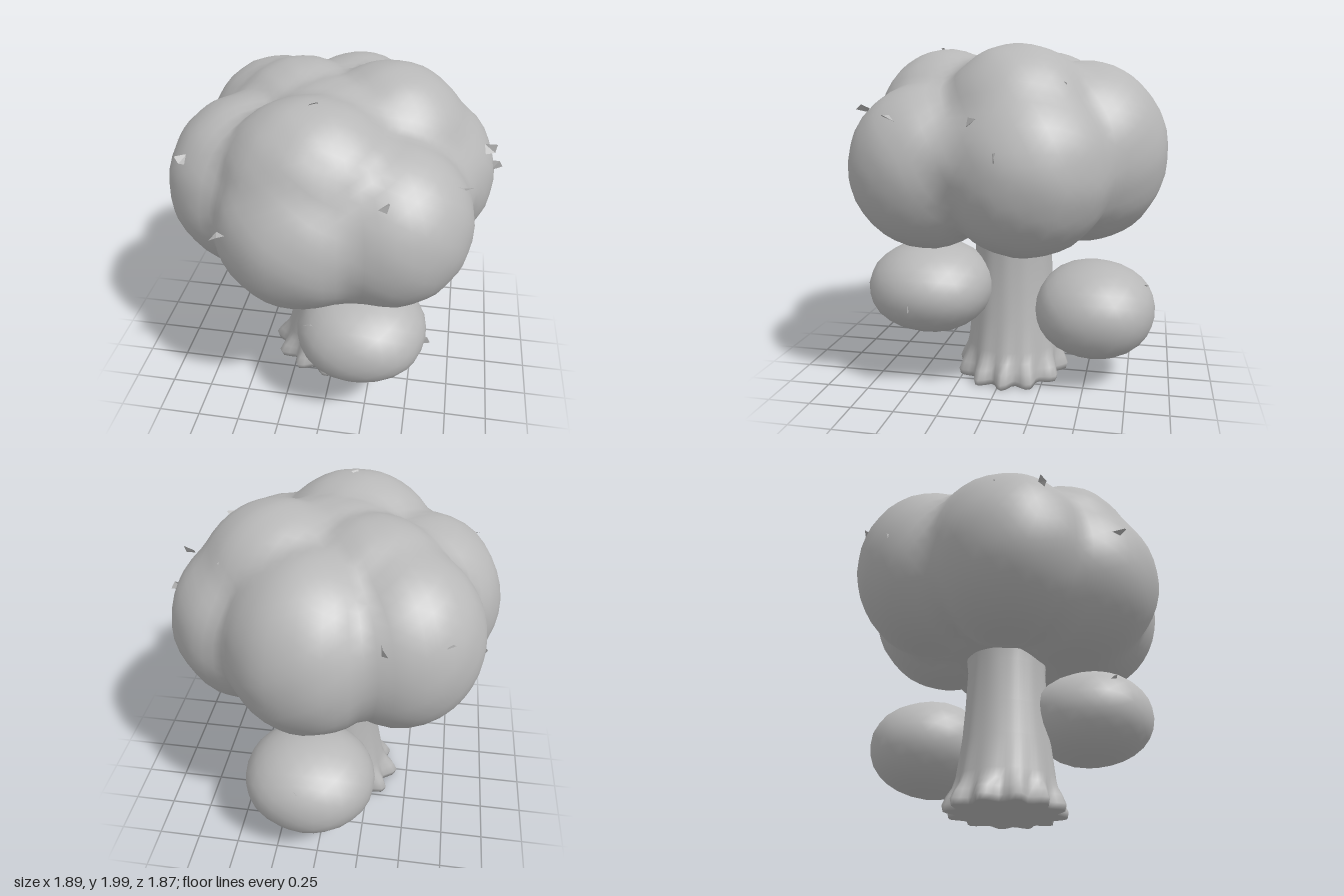
import * as THREE from 'three';
import { mergeVertices } from 'three/addons/utils/BufferGeometryUtils.js';

// Welded unit sphere whose vertices are moved by a rule, with smooth normals
function shapedSphere(detail, rule) {
  let geo = new THREE.IcosahedronGeometry(1, detail);
  geo.deleteAttribute('uv');
  geo.deleteAttribute('normal');
  geo = mergeVertices(geo, 1e-4);
  const pos = geo.attributes.position;
  const v = new THREE.Vector3();
  for (let i = 0; i < pos.count; i++) {
    v.fromBufferAttribute(pos, i).normalize();
    rule(v);
    pos.setXYZ(i, v.x, v.y, v.z);
  }
  geo.computeVertexNormals();
  return geo;
}

// Distance from the crown centre to the far side of an ellipsoid lobe along d
function lobeDistance(d, c, [x, y, z, rx, ry, rz]) {
  const ox = (c.x - x) / rx, oy = (c.y - y) / ry, oz = (c.z - z) / rz;
  const dx = d.x / rx, dy = d.y / ry, dz = d.z / rz;
  const a = dx * dx + dy * dy + dz * dz;
  const b = ox * dx + oy * dy + oz * dz;
  const disc = b * b - a * (ox * ox + oy * oy + oz * oz - 1);
  return disc < 0 ? 0 : Math.max(0, (-b + Math.sqrt(disc)) / a);
}

export function createModel() {
  const group = new THREE.Group();
  const grey = new THREE.MeshStandardMaterial({ color: 0xb8b8b8 });
  grey.name = 'plain grey';
  grey.side = THREE.DoubleSide;
  const add = (name, geo) => {
    const mesh = new THREE.Mesh(geo, grey);
    mesh.name = name;
    group.add(mesh);
    return mesh;
  };

  // Crown: lobes (centre, radii) blended into one billowing surface
  const lobes = [
    [-0.12, 1.31, 0.42, 0.49, 0.48, 0.51],
    [0.34, 1.32, 0.39, 0.45, 0.47, 0.45],
    [0.44, 1.33, -0.18, 0.46, 0.48, 0.48],
    [0.06, 1.39, -0.46, 0.47, 0.52, 0.48],
    [-0.41, 1.39, -0.36, 0.45, 0.51, 0.45],
    [-0.49, 1.35, 0.13, 0.46, 0.50, 0.48],
    [-0.08, 1.50, 0.38, 0.50, 0.48, 0.43],
    [0.28, 1.52, -0.12, 0.47, 0.48, 0.46],
    [-0.23, 1.50, -0.18, 0.47, 0.47, 0.46],
    // Fillers that keep the seams shallow
    [0.1, 1.3, 0.38, 0.44, 0.46, 0.44],
    [0, 1.37, 0, 0.81, 0.47, 0.81],
    [0, 1.50, 0.05, 0.55, 0.45, 0.55],
  ];
  const centre = new THREE.Vector3(0, 1.4, 0);
  add('crown', shapedSphere(13, (v) => {
    let sum = 0;
    for (const lobe of lobes) sum += Math.pow(lobeDistance(v, centre, lobe), 55);
    const bump = 1 + 0.005 * Math.sin(17 * v.x + 9 * v.y) * Math.sin(15 * v.z - 11 * v.y);
    v.multiplyScalar(Math.pow(sum, 1 / 55) * bump).add(centre);
  }));

  // Side bushes: slightly boxy, uneven ellipsoids
  const bush = (name, x, y, z, rx, ry, rz) => {
    const mesh = add(name, shapedSphere(4, (v) => {
      const p = 2.1;
      const box = Math.abs(v.x) ** p + Math.abs(v.y) ** p + Math.abs(v.z) ** p;
      const k = box ** (-1 / p) * (1 + 0.012 * Math.sin(5 * v.x + 3 * v.y + x * 9) * Math.cos(4 * v.z - 2 * v.y));
      v.set(v.x * rx * k, v.y * ry * k, v.z * rz * k);
    }));
    mesh.position.set(x, y, z);
  };
  bush('frontBush', 0.21, 0.585, 0.425, 0.38, 0.27, 0.37);
  bush('backBush', 0.07, 0.45, -0.545, 0.385, 0.285, 0.36);

  // Trunk: stacked rings, the lowest spreading into knobbly roots
  // Each ring: y, radius x, radius z, root depth
  const rings = [
    [0.005, 0.365, 0.31, 0.10], [0.04, 0.375, 0.318, 0.10], [0.09, 0.355, 0.305, 0.08],
    [0.14, 0.325, 0.29, 0.04], [0.2, 0.305, 0.282, 0.012], [0.4, 0.27, 0.258, 0.005],
    [0.6, 0.25, 0.243, 0.005], [0.85, 0.235, 0.232, 0.008], [1.0, 0.25, 0.25, 0],
  ];
  const sides = 72, points = [], faces = [];
  for (const [y, rx, rz, depth] of rings) {
    for (let i = 0; i < sides; i++) {
      const a = (i / sides) * Math.PI * 2;
      const k = 1 + depth * Math.cos(12 * a + 0.5 * Math.sin(3 * a));
      points.push(-0.02 + rx * k * Math.cos(a), y, -0.03 + rz * k * Math.sin(a));
    }
  }
  for (let r = 0; r < rings.length - 1; r++) {
    for (let i = 0; i < sides; i++) {
      const a = r * sides + i, b = r * sides + ((i + 1) % sides);
      faces.push(a, a + sides, b, b, a + sides, b + sides);
    }
  }
  // Flat underside, fanned from a middle point and sharing the lowest ring
  const middle = points.length / 3;
  points.push(-0.02, 0.005, -0.03);
  for (let i = 0; i < sides; i++) faces.push(middle, i, (i + 1) % sides);
  const trunk = new THREE.BufferGeometry();
  trunk.setAttribute('position', new THREE.Float32BufferAttribute(points, 3));
  trunk.setIndex(faces);
  trunk.computeVertexNormals();
  add('trunk', trunk);

  // Small folded leaves poking out of the foliage
  const leafGeo = new THREE.BufferGeometry();
  leafGeo.setAttribute('position', new THREE.Float32BufferAttribute([
    -0.03, 0, -0.03, 0.03, 0, -0.03, 0.025, 0.012, 0.02,
    -0.03, 0, -0.03, 0.025, 0.012, 0.02, -0.012, -0.01, 0.04,
  ], 3));
  leafGeo.computeVertexNormals();
  const leaf = (x, y, z, from, roll) => {
    const mesh = add('leaf', leafGeo);
    mesh.position.set(x, y, z);
    mesh.lookAt(2 * x - from.x, 2 * y - from.y, 2 * z - from.z);
    mesh.rotateZ(roll);
  };
  [
    [-0.49, 1.4, 0.79], [0.9, 1.44, -0.11], [0.72, 1.62, 0.49], [0.85, 1.61, 0.02],
    [-0.77, 1.62, 0.43], [-0.06, 1.96, 0.4], [-0.35, 1.62, -0.81], [-0.65, 1.6, -0.68],
    [-0.83, 1.4, -0.42], [-0.84, 1.6, 0.2], [0.35, 1.64, 0.77], [0.52, 1.78, -0.38],
  ].forEach((p, i) => leaf(...p, centre, i * 1.3));
  const frontCentre = new THREE.Vector3(0.21, 0.585, 0.425);
  const backCentre = new THREE.Vector3(0.07, 0.45, -0.545);
  leaf(0.58, 0.55, 0.45, frontCentre, 1.2);
  leaf(-0.06, 0.72, 0.62, frontCentre, 0.2);
  leaf(0.36, 0.57, -0.44, backCentre, 0.7);
  leaf(0.1, 0.6, -0.82, backCentre, 2);

  return group;
}
